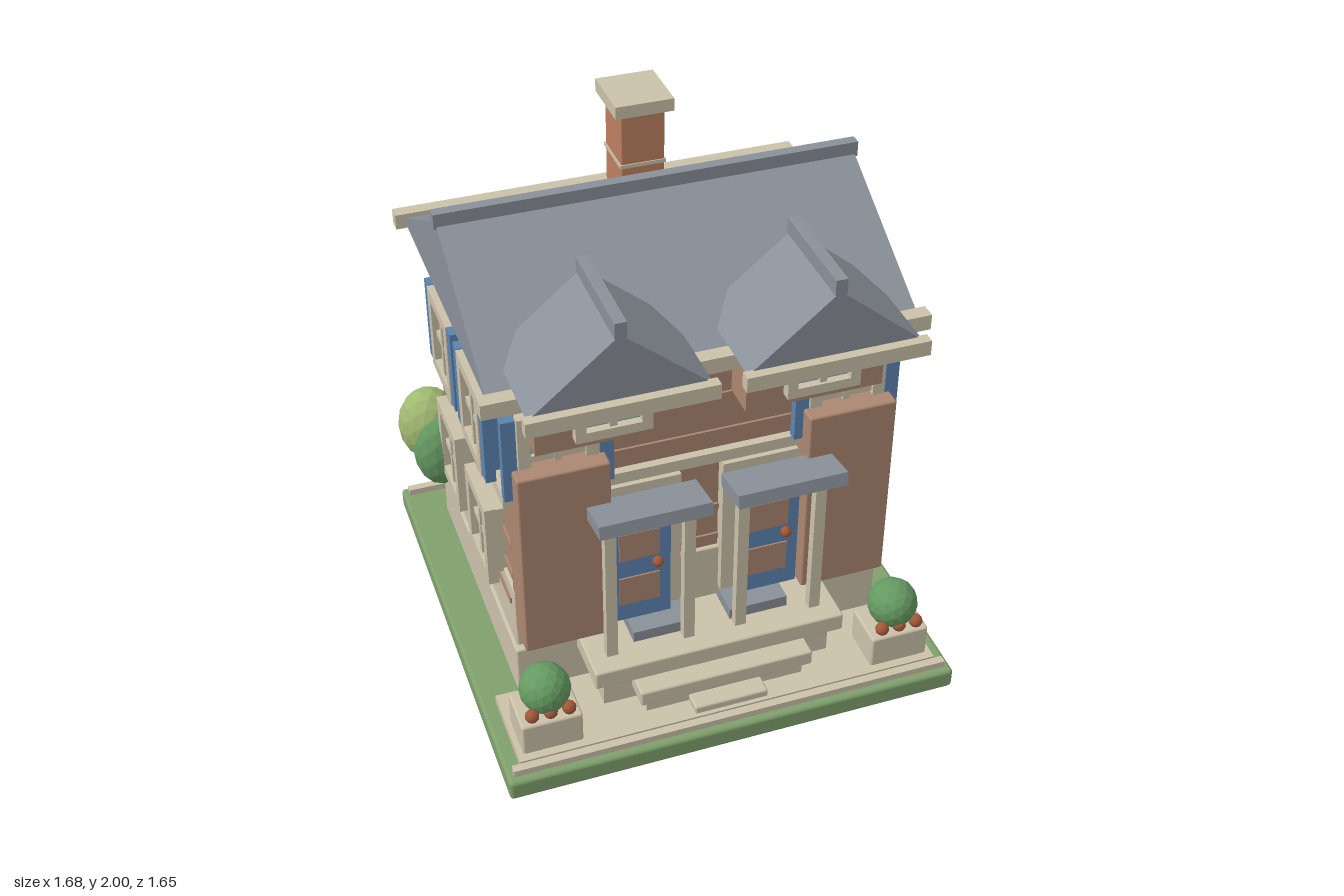
import * as THREE from 'three';
import { RoundedBoxGeometry } from 'three/addons/geometries/RoundedBoxGeometry.js';

function material(name, color) {
  const m = new THREE.MeshStandardMaterial({ color });
  m.name = name;
  return m;
}

export function createModel() {
  const brick = material('brick', 0xab8770);
  const clay = material('chimney clay', 0xbd8060);
  const stone = material('cream stone', 0xcbc1aa);
  const blue = material('blue paint', 0x5b84b0);
  const glass = material('window glass', 0x7fa9bb);
  const slate = material('slate', 0x8a9099);
  const lawnGreen = material('lawn green', 0x7f9f6c);
  const leaf = material('dark leaf', 0x659a62);
  const paleLeaf = material('pale leaf', 0xa0b972);
  const rust = material('rust', 0xa3573a);
  leaf.flatShading = paleLeaf.flatShading = true;

  const model = new THREE.Group();
  model.name = 'house';
  const house = new THREE.Group();
  house.name = 'houseAndGarden';
  house.position.x = 0.01;
  model.add(house);

  function add(parent, name, geometry, mat) {
    const mesh = new THREE.Mesh(geometry, mat);
    mesh.name = name;
    parent.add(mesh);
    return mesh;
  }
  // Box given by its limits on each axis, optionally with softened edges
  function box(name, mat, [x0, x1], [y0, y1], [z0, z1], parent = house, round = 0) {
    const size = [x1 - x0, y1 - y0, z1 - z0];
    const g = round ? new RoundedBoxGeometry(...size, 2, round) : new THREE.BoxGeometry(...size);
    const mesh = add(parent, name, g, mat);
    mesh.position.set((x0 + x1) / 2, (y0 + y1) / 2, (z0 + z1) / 2);
    return mesh;
  }
  const around = (c, h) => [c - h, c + h];

  // Faceted shrub
  function shrub(name, mat, x, y, z, rx, ry = rx, rz = rx) {
    const mesh = add(house, name, new THREE.IcosahedronGeometry(1, 2), mat);
    mesh.position.set(x, y, z);
    mesh.scale.set(rx, ry, rz);
  }

  // Triangular roof prism: width across, rise, length along +z from the origin
  function gable(name, width, rise, length) {
    const s = new THREE.Shape();
    s.moveTo(-width / 2, 0);
    s.lineTo(width / 2, 0);
    s.lineTo(0, rise);
    return add(house, name, new THREE.ExtrudeGeometry(s, { depth: length, bevelEnabled: false }), slate);
  }

  // Window standing proud of a wall, facing local +z, with optional shutters
  function windowUnit(name, x, y, z, turn = 0, { w = 0.27, h = 0.33, shutters = false, rim = 0.042 } = {}) {
    const g = new THREE.Group();
    g.name = name;
    g.position.set(x, y, z);
    g.rotation.y = turn;
    house.add(g);
    box('windowBacking', stone, around(0, w / 2 - 0.025), around(0, h / 2 - 0.025), [-0.01, 0.04], g);
    box('pane', glass, around(0, w / 2 - 0.03), around(0, h / 2 - 0.03), [0.04, 0.045], g);
    const s = new THREE.Shape();
    const rect = (p, a, b) => p.moveTo(-a, -b).lineTo(a, -b).lineTo(a, b).lineTo(-a, b).closePath();
    rect(s, w / 2, h / 2);
    const hole = new THREE.Path();
    rect(hole, w / 2 - rim, h / 2 - rim);
    s.holes.push(hole);
    const frame = add(g, 'windowFrame', new THREE.ExtrudeGeometry(s, { depth: 0.038, bevelEnabled: false }), stone);
    frame.position.z = 0.035;
    box('mullion', stone, around(0, 0.012), around(0, h / 2 - rim), [0.045, 0.063], g);
    if (h > 0.2) box('crossBar', stone, around(0, w / 2 - rim), around(-0.01, 0.012), [0.045, 0.06], g);
    if (shutters) {
      for (const side of [-1, 1]) {
        box('shutter', blue, around(side * (w / 2 + 0.028), 0.024), around(0.005, 0.16), [0.035, 0.07], g);
        box('shutterHinge', blue, around(side * (w / 2 + 0.02), 0.012), around(0.005, 0.13), [-0.01, 0.035], g);
      }
    }
  }

  // Ground, paving and curbs
  box('lawn', lawnGreen, around(0, 0.824), [0, 0.08], around(0, 0.824), house, 0.015);
  box('paving', stone, around(0, 0.77), [0.07, 0.112], [0.44, 0.765]);
  for (const z of [-0.785, 0.78]) box('curb', stone, around(0, 0.8), [0.07, 0.105], around(z, 0.015));

  // Plinth, walls and belt course
  box('lowerPlinth', stone, around(0, 0.68), [0.08, 0.28], [-0.645, 0.42], house, 0.008);
  box('upperPlinth', stone, around(0, 0.668), [0.27, 0.525], [-0.625, 0.39], house, 0.008);
  box('plinthStripe', brick, around(0, 0.674), around(0.455, 0.011), [-0.59, 0.35]);
  box('walls', brick, around(0, 0.655), [0.5, 1.41], [-0.61, 0.375]);
  for (const y of [0.57, 0.705, 1.03, 1.18, 1.285]) {
    box('sideCourse', brick, around(0, 0.664), around(y, 0.011), [-0.59, 0.355]);
    box('frontBackCourse', brick, around(0, 0.63), around(y, 0.011), [-0.619, 0.384]);
  }
  box('beltCourse', stone, around(0, 0.69), [0.918, 0.962], [-0.635, 0.405]);

  // Main roof, ridge and gutters
  const roof = gable('mainRoof', 1.145, 0.315, 1.47);
  roof.rotation.y = Math.PI / 2;
  roof.position.set(-0.735, 1.408, -0.118);
  box('roofRidge', slate, around(0, 0.745), [1.705, 1.76], around(-0.12, 0.02));
  box('frontGutter', stone, around(0, 0.765), [1.368, 1.425], [0.445, 0.5]);
  box('backGutter', stone, around(0, 0.765), [1.368, 1.425], [-0.74, -0.69]);

  // Chimney
  box('chimney', clay, around(0, 0.077), [1.55, 1.96], [-0.365, -0.195], house, 0.006);
  box('chimneyFlashing', stone, around(0, 0.081), [1.755, 1.768], [-0.369, -0.191]);
  box('chimneyCap', stone, around(0, 0.102), [1.955, 2], [-0.39, -0.17]);

  // Side and back windows
  for (const side of [-1, 1]) {
    for (const z of [0.143, -0.268]) {
      windowUnit('upperSideWindow', side * 0.655, 1.133, z, side * Math.PI / 2, { shutters: true });
      windowUnit('lowerSideWindow', side * 0.655, 0.65, z, side * Math.PI / 2);
    }
    windowUnit('upperBackWindow', side * 0.25, 1.133, -0.61, Math.PI, { shutters: true });
    box('backBay', brick, around(side * 0.38, 0.23), [0.265, 0.87], [-0.67, -0.6], house, 0.008);
    windowUnit('backBayWindow', side * 0.38, 0.58, -0.67, Math.PI);
  }
  windowUnit('backCentreWindow', 0, 0.68, -0.61, Math.PI, { w: 0.16, h: 0.31, shutters: true, rim: 0.03 });

  // Front: mirrored bays, dormers and entrances
  for (const side of [-1, 1]) {
    box('frontBay', brick, around(side * 0.507, 0.158), [0.35, 1.1], [0.36, 0.505], house, 0.008);
    windowUnit('upperFrontWindow', side * 0.506, 1.133, 0.375, 0, { shutters: true });

    const dx = side * 0.357;
    box('dormerWall', brick, around(dx, 0.243), [1.19, 1.46], [0.3, 0.505]);
    windowUnit('dormerWindow', dx, 1.34, 0.505, 0, { w: 0.255, h: 0.155, rim: 0.035 });
    const dormerRoof = gable('dormerRoof', 0.6, 0.25, 0.39);
    dormerRoof.position.set(dx, 1.45, 0.262);
    box('dormerRidge', slate, around(dx, 0.02), [1.69, 1.745], [0.262, 0.655]);
    box('dormerGutter', stone, around(dx, 0.315), [1.41, 1.465], [0.645, 0.685]);

    // Door with panels, plaque, fanlight and knob
    const x = side * 0.236;
    box('doorSurround', stone, around(x, 0.16), [0.345, 0.915], [0.37, 0.42]);
    box('door', blue, around(x, 0.111), [0.345, 0.88], [0.42, 0.455]);
    box('fanlight', glass, around(x, 0.1), [0.835, 0.875], [0.453, 0.46]);
    box('doorUpperPanel', brick, around(x - 0.003, 0.073), [0.62, 0.735], [0.453, 0.461]);
    box('doorLowerPanel', brick, around(x - 0.003, 0.073), [0.42, 0.54], [0.453, 0.461]);
    box('doorPlaque', clay, around(x, 0.04), [0.76, 0.805], [0.453, 0.461]);
    const knob = add(house, 'doorKnob', new THREE.SphereGeometry(0.02, 12, 8), rust);
    knob.position.set(x + 0.06, 0.595, 0.47);

    // Porch posts, sill and tilted canopy
    for (const p of [-0.14, 0.14]) box('porchPost', stone, around(x + p, 0.02), [0.3, 0.89], [0.535, 0.57]);
    box('doorSill', slate, around(side * 0.178, 0.108), [0.3, 0.345], [0.4, 0.53]);
    const canopy = box('canopy', slate, around(side * 0.24, 0.195), [0.893, 0.943], [0.48, 0.645]);
    canopy.rotation.x = -0.17;

    // Planter with shrub and flowers
    const px = side * 0.643;
    box('planter', stone, around(px, 0.108), [0.105, 0.235], [0.562, 0.735], house, 0.01);
    shrub('planterShrub', leaf, px, 0.315, 0.65, 0.09);
    for (const f of [-0.065, 0, 0.065]) {
      const flower = add(house, 'flower', new THREE.SphereGeometry(0.025, 10, 8), rust);
      flower.position.set(px + f, 0.263, 0.715);
    }
  }

  // Entrance steps
  box('landing', stone, around(0, 0.46), [0.23, 0.302], [0.38, 0.64], house, 0.008);
  box('landingBase', stone, around(0, 0.42), [0.1, 0.235], [0.4, 0.6]);
  box('middleStep', stone, around(0, 0.318), [0.165, 0.225], [0.55, 0.705], house, 0.008);
  box('middleStepBase', stone, around(0, 0.29), [0.1, 0.17], [0.55, 0.68]);
  box('bottomStep', stone, around(0, 0.135), [0.1, 0.14], [0.6, 0.75], house, 0.008);

  // Back hedge and side bush
  for (let i = 0; i < 7; i++) {
    shrub('hedgeShrub', i % 2 ? paleLeaf : leaf, (i - 3) * 0.195, 0.182, -0.67, 0.095, 0.09, 0.09);
  }
  shrub('sideBush', paleLeaf, -0.74, 0.61, -0.53, 0.115, 0.15, 0.11);
  shrub('sideBush', leaf, -0.72, 0.54, -0.46, 0.1, 0.16, 0.1);
  shrub('sideBush', leaf, -0.7, 0.5, -0.57, 0.09, 0.13, 0.09);

  return model;
}
